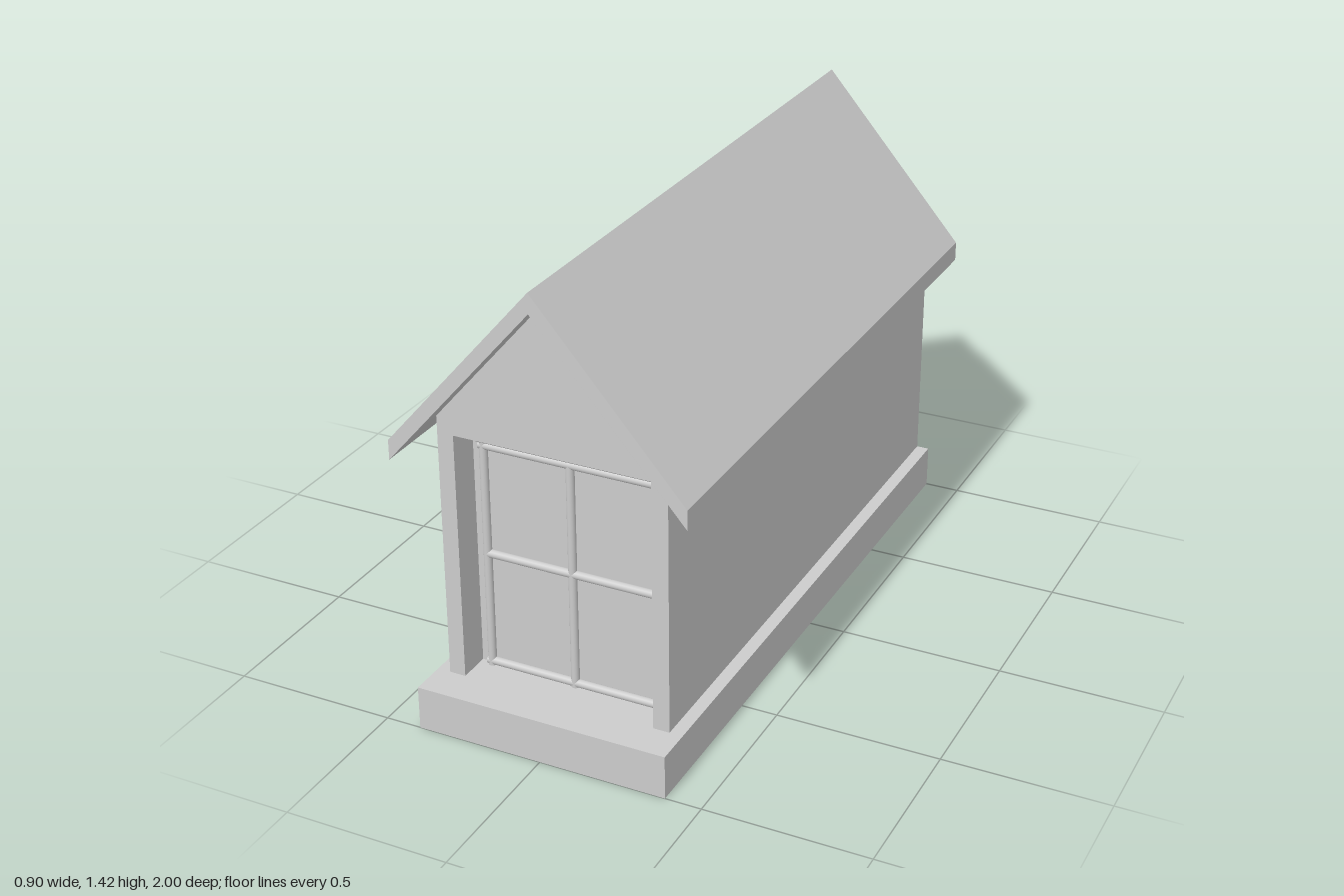
import * as THREE from 'three';

const material = new THREE.MeshStandardMaterial({ color: 0xcccccc, side: THREE.DoubleSide });
const BACK = -1, WALL_FRONT = 0.89, ROOF_FRONT = 0.98, RECESS = 0.79;
const BASE_TOP = 0.135, HEAD = 0.905, WALL_X = 0.35, JAMB_X = 0.3;

function add(group, name, geometry, x = 0, y = 0, z = 0) {
  const mesh = new THREE.Mesh(geometry, material);
  mesh.name = name;
  mesh.position.set(x, y, z);
  group.add(mesh);
  return mesh;
}

// Flat-shaded ribbon: an [x, y] path swept straight from z0 to z1, open at both ends
function sweep(path, z0, z1) {
  const p = [];
  for (let i = 0; i < path.length - 1; i++) {
    const [ax, ay] = path[i], [bx, by] = path[i + 1];
    p.push(ax, ay, z0, bx, by, z0, bx, by, z1, ax, ay, z0, bx, by, z1, ax, ay, z1);
  }
  const geometry = new THREE.BufferGeometry();
  geometry.setAttribute('position', new THREE.Float32BufferAttribute(p, 3));
  geometry.computeVertexNormals();
  return geometry;
}

function sheet(points) {
  return new THREE.ShapeGeometry(new THREE.Shape(points.map(([x, y]) => new THREE.Vector2(x, y))));
}

// Round bar between two points of the window plane
function bar(group, name, x0, y0, x1, y1, z, radius = 0.0125) {
  const length = Math.hypot(x1 - x0, y1 - y0);
  const mesh = add(group, name, new THREE.CylinderGeometry(radius, radius, length, 16),
    (x0 + x1) / 2, (y0 + y1) / 2, z);
  mesh.rotation.z = Math.atan2(y1 - y0, x1 - x0) - Math.PI / 2;
}

function createWindow() {
  const win = new THREE.Group();
  win.name = 'window';
  const left = -0.275, right = 0.285, bottom = BASE_TOP, top = 0.885, r = 0.0125;

  add(win, 'glass', new THREE.PlaneGeometry(2 * JAMB_X, HEAD - BASE_TOP),
    0, (HEAD + BASE_TOP) / 2, RECESS);

  // Sash frame with a double top rail
  const z = RECESS + 0.008;
  bar(win, 'leftStile', left + r, bottom, left + r, top, z);
  bar(win, 'rightStile', right - r, bottom, right - r, top, z);
  bar(win, 'bottomRail', left, bottom + r, right, bottom + r, z);
  bar(win, 'topRail', left, 0.843, right, 0.843, z);
  bar(win, 'headRail', left, 0.87, right, 0.87, z + 0.008, 0.015);

  // Glazing bars
  bar(win, 'verticalGlazingBar', 0.008, bottom, 0.008, 0.84, z);
  bar(win, 'horizontalGlazingBar', left + r, 0.502, right - r, 0.502, z);
  return win;
}

export function createModel() {
  const model = new THREE.Group();
  model.name = 'dormer';

  // Hollow base, open at the back
  const baseX = 0.39;
  const base = new THREE.Group();
  base.name = 'base';
  add(base, 'baseShell', sweep([[-baseX, 0], [baseX, 0], [baseX, BASE_TOP],
    [-baseX, BASE_TOP], [-baseX, 0]], BACK, 1));
  add(base, 'baseFront', new THREE.PlaneGeometry(2 * baseX, BASE_TOP), 0, BASE_TOP / 2, 1);
  model.add(base);

  // Front wall and gable around the opening
  add(model, 'frontWall', sheet([[-WALL_X, BASE_TOP], [-JAMB_X, BASE_TOP], [-JAMB_X, HEAD],
    [JAMB_X, HEAD], [JAMB_X, BASE_TOP], [WALL_X, BASE_TOP], [WALL_X, 0.955],
    [0, 1.36], [-WALL_X, 0.955]]), 0, 0, WALL_FRONT);
  add(model, 'windowReveal', sweep([[-JAMB_X, BASE_TOP], [-JAMB_X, HEAD],
    [JAMB_X, HEAD], [JAMB_X, BASE_TOP]], RECESS, WALL_FRONT));
  model.add(createWindow());

  // Thin side walls, roof eaves and front overhang, mirrored
  const roof = new THREE.Group();
  roof.name = 'roof';
  for (const s of [-1, 1]) {
    add(model, s > 0 ? 'leftWall' : 'rightWall',
      sweep([[s * WALL_X, BASE_TOP], [s * WALL_X, 0.955]], BACK, WALL_FRONT));
    add(roof, 'roofSlope', sweep([[0, 1.42], [s * 0.45, 0.9], [s * 0.45, 0.84],
      [s * WALL_X, 0.955]], BACK, ROOF_FRONT));
    add(roof, 'overhangSoffit', sweep([[s * WALL_X, 0.955], [0, 1.36]], WALL_FRONT, ROOF_FRONT));
  }
  add(roof, 'bargeboard', sheet([[0, 1.42], [-0.45, 0.9], [-0.45, 0.84], [0, 1.36],
    [0.45, 0.84], [0.45, 0.9]]), 0, 0, ROOF_FRONT);
  model.add(roof);

  return model;
}
